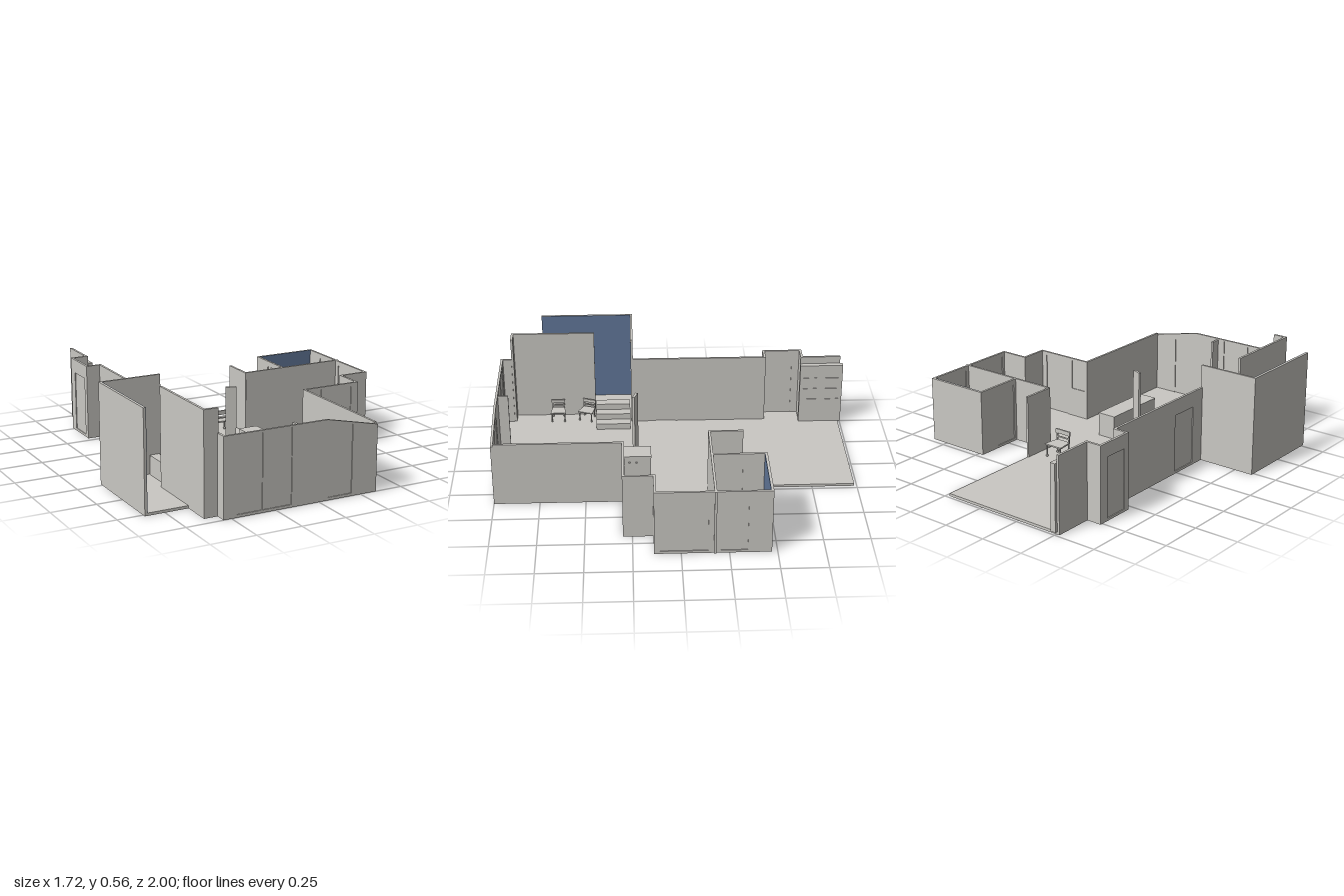
import * as THREE from 'three';

const T = 0.013;      // wall thickness
const FLOOR = 0.015;  // floor thickness
const plaster = new THREE.MeshStandardMaterial({ color: 0xcac8c3 });
plaster.name = 'plaster grey';
const blue = new THREE.MeshStandardMaterial({ color: 0x62789a });
blue.name = 'accent blue';

function add(parent, name, geometry, material = plaster) {
  const mesh = new THREE.Mesh(geometry, material);
  mesh.name = name;
  parent.add(mesh);
  return mesh;
}

// Box given by its lower and upper corners
function block(parent, name, [x0, y0, z0], [x1, y1, z1], material) {
  const mesh = add(parent, name, new THREE.BoxGeometry(x1 - x0, y1 - y0, z1 - z0), material);
  mesh.position.set((x0 + x1) / 2, (y0 + y1) / 2, (z0 + z1) / 2);
  return mesh;
}

const shapeOf = (pts) => new THREE.Shape(pts.map(([a, b]) => new THREE.Vector2(a, b)));

// Wall with recessed panels; each panel is [start, end, bottom, top]
function wallPanel(parent, name, outline, panels) {
  const group = new THREE.Group();
  group.name = name;
  const shape = shapeOf(outline);
  for (const [a, b, y0, y1] of panels) {
    shape.holes.push(new THREE.Path([[a, y0], [a, y1], [b, y1], [b, y0]].map(p => new THREE.Vector2(...p))));
    block(group, 'doorPanel', [a, y0, T * 0.35], [b, y1, T * 0.65]);
  }
  add(group, 'wallBody', new THREE.ExtrudeGeometry(shape, { depth: T, bevelEnabled: false }));
  parent.add(group);
  return group;
}

const rect = (a, b, h) => [[a, 0], [b, 0], [b, h], [a, h]];

// Wall running along x, its back face at z
function wallX(parent, name, z, x0, x1, h, panels = [], outline = rect(x0, x1, h)) {
  wallPanel(parent, name, outline, panels).position.z = z;
}

// Wall running along z, its left face at x
function wallZ(parent, name, x, z0, z1, h, panels = []) {
  const wall = wallPanel(parent, name, rect(z0, z1, h), panels);
  wall.rotation.y = -Math.PI / 2;
  wall.position.x = x + T;
}

// Chair facing -z, with a tapered seat, four legs and a slatted back
function chair(parent, name, x, z, turn, s) {
  const c = new THREE.Group();
  c.name = name;
  const seat = new THREE.ExtrudeGeometry(
    shapeOf([[-0.057, 0.05], [-0.045, -0.045], [0.045, -0.045], [0.057, 0.05]]),
    { depth: 0.008, bevelEnabled: false });
  seat.rotateX(-Math.PI / 2);
  add(c, 'seat', seat).position.y = 0.07;
  for (const side of [-1, 1]) {
    for (const [lx, lz] of [[0.047, -0.042], [0.04, 0.04]]) {
      const leg = add(c, 'leg', new THREE.CylinderGeometry(0.005, 0.004, 0.07, 8));
      leg.position.set(side * lx, 0.035, lz);
      add(c, 'foot', new THREE.SphereGeometry(0.007, 8, 6)).position.set(side * lx, 0.007, lz);
    }
    block(c, 'backPost', [side * 0.042 - 0.004, 0.07, 0.037], [side * 0.042 + 0.004, 0.14, 0.045]);
  }
  block(c, 'topRail', [-0.05, 0.118, 0.037], [0.05, 0.142, 0.047]);
  block(c, 'midRail', [-0.042, 0.094, 0.039], [0.042, 0.102, 0.044]);
  c.scale.setScalar(s);
  c.rotation.y = turn;
  c.position.set(x, FLOOR, z);
  parent.add(c);
}

export function createModel() {
  const model = new THREE.Group();
  model.name = 'houseInterior';

  // Floor slab
  const floor = new THREE.ExtrudeGeometry(shapeOf([
    [-0.51, -0.985], [0.23, -0.985], [0.23, -0.18], [0.47, -0.18], [0.47, -0.47], [0.848, -0.47],
    [0.848, 0.14], [0.685, 0.14], [0.685, 0.3], [0.345, 0.3], [0.345, 1], [-0.545, 1],
    [-0.545, 0.938], [-0.62, 0.938], [-0.62, 0.77], [-0.86, 0.77], [-0.86, 0.23], [-0.525, 0.23],
    [-0.525, -0.535], [-0.605, -0.535], [-0.605, -0.765], [-0.51, -0.765],
  ]), { depth: FLOOR, bevelEnabled: false });
  floor.rotateX(Math.PI / 2);
  add(model, 'floor', floor).position.y = FLOOR;

  const walls = new THREE.Group();
  walls.name = 'walls';
  model.add(walls);

  // Front wall with its sloping top
  wallX(walls, 'frontWall', 1 - T, 0, 0, 0, [
    [-0.47, -0.327, FLOOR, 0.415], [-0.323, -0.16, FLOOR, 0.42], [0.055, 0.195, FLOOR, 0.383],
  ], [[-0.545, 0], [0.345, 0], [0.345, 0.362], [0.045, 0.428], [-0.545, 0.428]]);
  wallZ(walls, 'frontStub', -0.118, 0.93, 1 - T, 0.42);
  wallZ(walls, 'frontReturn', -0.545, 0.938, 1, 0.428);

  // Low walls on the left side of the house
  wallZ(walls, 'eastWall', 0.345 - T, 0.3 - T, 1 - T, 0.372);
  wallX(walls, 'windowWall', 0.3 - T, 0.345 - T, 0.685, 0.372,
    [[0.35, 0.445, 0.185, 0.36], [0.48, 0.64, FLOOR, 0.35]]);
  wallZ(walls, 'stepWall', 0.685 - T, 0.14, 0.3 - T, 0.372);
  wallX(walls, 'stepReturn', 0.14 - T, 0.685 - T, 0.848, 0.372);
  wallZ(walls, 'outerWall', 0.848 - T, -0.47, 0.14 - T, 0.372,
    [[-0.14, 0.11, FLOOR, 0.345], [-0.345, -0.205, FLOOR, 0.345]]);

  // Small side room
  wallX(walls, 'roomBack', -0.47, 0.47, 0.848, 0.372);
  wallZ(walls, 'roomSide', 0.47, -0.47 + T, -0.18, 0.372, [[-0.34, -0.2, FLOOR, 0.34]]);
  wallX(walls, 'roomFront', -0.182, 0.23, 0.855, 0.372);
  wallZ(walls, 'roomWing', 0.225, -0.36, -0.17, 0.37);
  block(walls, 'bluePanelRoom', [0.483, FLOOR, -0.457], [0.835, 0.372, -0.455], blue);

  // High walls on the right side of the house
  wallZ(walls, 'longWall', -0.525, -0.535, 0.24, 0.428, [[-0.02, 0.145, FLOOR, 0.34]]);
  wallX(walls, 'nicheFront', -0.535 - T, -0.605, -0.512, 0.428);
  wallZ(walls, 'nicheSide', -0.605, -0.765, -0.535, 0.428, [[-0.71, -0.57, FLOOR, 0.35]]);
  wallX(walls, 'nicheBack', -0.765, -0.605, -0.505, 0.428);
  wallZ(walls, 'backSideWall', -0.52, -0.985, -0.752, 0.428);

  // Tall bay
  wallX(walls, 'bayBack', 0.23, -0.86, -0.515, 0.555);
  wallZ(walls, 'bayOuter', -0.86, 0.23, 0.77, 0.555);
  wallZ(walls, 'bayInner', -0.62, 0.455, 0.938, 0.555);
  wallX(walls, 'bayReturn', 0.938 - T, -0.62, -0.54, 0.555);
  block(walls, 'bluePanelBay', [-0.847, FLOOR, 0.243], [-0.845, 0.555, 0.77], blue);

  // Steps up to the bay
  for (let i = 0; i < 3; i++) {
    const x = -0.42 - i * 0.055;
    block(model, 'step', [x - 0.055, FLOOR, 0.25], [x, FLOOR + 0.036 * (i + 1), 0.45]);
  }

  // Kitchen island with handles
  block(model, 'island', [0.015, FLOOR, 0.14], [0.123, 0.14, 0.53]);
  block(model, 'islandTop', [0.013, 0.14, 0.138], [0.126, 0.152, 0.532]);
  for (const z of [0.22, 0.26, 0.34, 0.38, 0.42, 0.48])
    block(model, 'islandHandle', [0.123, 0.11, z - 0.005], [0.131, 0.116, z + 0.005]);

  // Tall cupboard with drawer handles
  block(model, 'cupboard', [-0.507, FLOOR, -1], [-0.477, 0.385, -0.75]);
  for (const y of [0.16, 0.23, 0.3])
    for (const z of [-0.94, -0.81])
      block(model, 'cupboardHandle', [-0.477, y, z - 0.04], [-0.472, y + 0.006, z + 0.04]);

  // Free-standing post
  const post = block(model, 'post', [-0.113, FLOOR, 0.216], [-0.055, 0.425, 0.23]);
  post.rotation.y = -0.35;

  // Chairs
  chair(model, 'deskChair', 0.104, -0.247, 0, 1);
  chair(model, 'sideChair', -0.553, 0.678, -Math.PI / 2, 0.8);
  chair(model, 'cornerChair', -0.553, 0.505, -Math.PI / 2 - 0.35, 0.8);

  return model;
}
